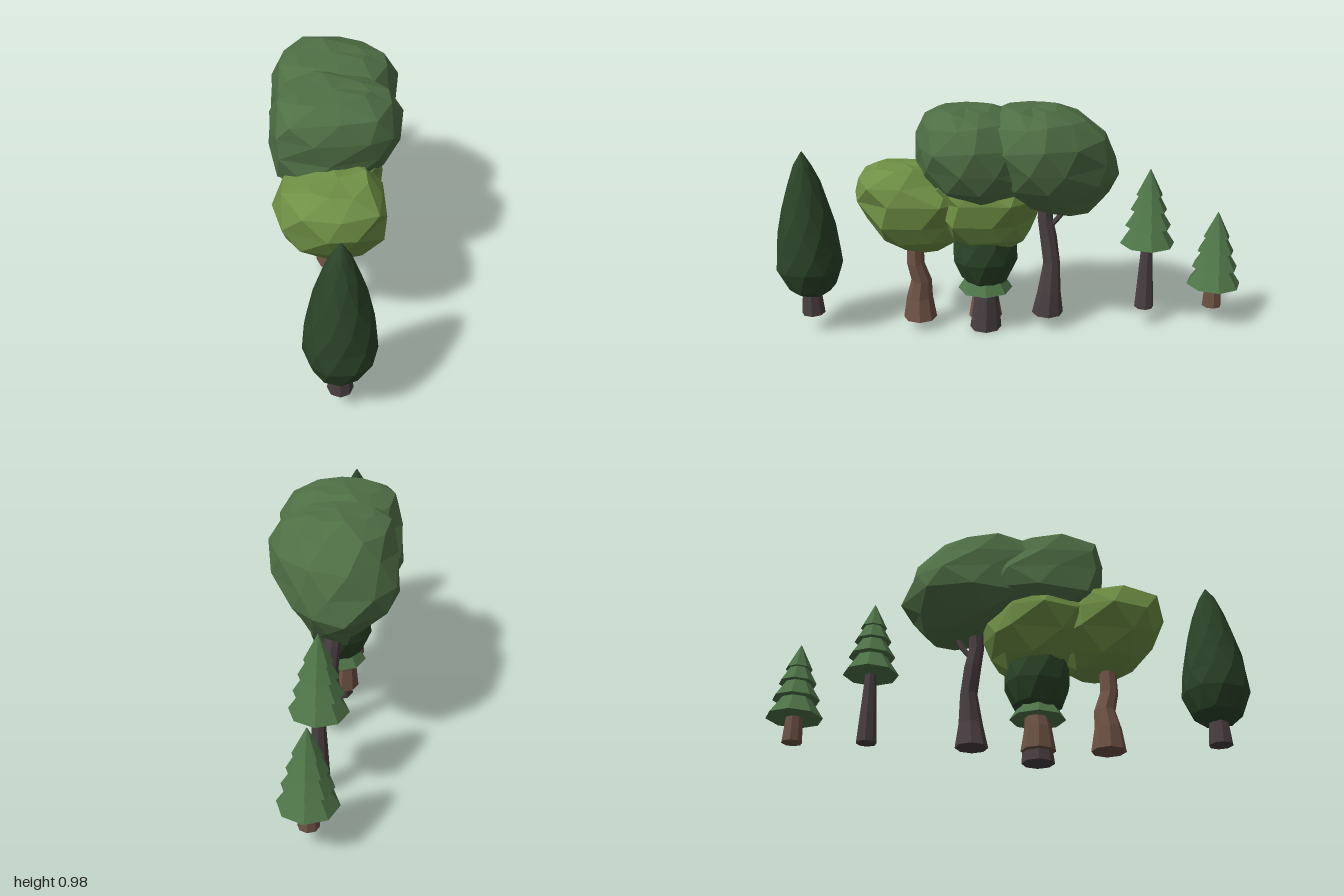
import * as THREE from 'three';

const mat = (color) => new THREE.MeshStandardMaterial({ color, flatShading: true });
const COLORS = {
  darkLeaf: mat(0x4f6f45), lightLeaf: mat(0x6f9045), cypressLeaf: mat(0x2b4428),
  pineLeaf: mat(0x4f7548), brownBark: mat(0x6e5345), darkBark: mat(0x4a3f42),
};

function seeded(seed) {
  let s = seed;
  return () => ((s = (s * 16807) % 2147483647) / 2147483647);
}

// Faceted loft through elliptical rings [y, xMin, xMax, zMin, zMax].
// twist is in fractions of a side; corners swell the quadrants (+x+z, -x+z, -x-z, +x-z).
function loft(rings, sides, { twist = 0, jitter = 0, corners = [0, 0, 0, 0], seed = 7 } = {}) {
  const rnd = seeded(seed * 7919);
  const pos = [], idx = [];
  rings.forEach(([y, x0, x1, z0, z1], j) => {
    for (let i = 0; i < sides; i++) {
      const a = ((i + j * twist + (rnd() - 0.5) * jitter * 4) / sides) * Math.PI * 2;
      const quadrant = (Math.floor(a / (Math.PI / 2)) + 4) % 4;
      const k = (1 + (rnd() - 0.4) * jitter) * (1 + corners[quadrant] * Math.sin(2 * a) ** 2);
      pos.push(
        (x0 + x1) / 2 + (k * Math.cos(a) * (x1 - x0)) / 2,
        y + (rnd() - 0.5) * jitter * 0.2,
        (z0 + z1) / 2 + (k * Math.sin(a) * (z1 - z0)) / 2,
      );
    }
  });
  for (let j = 0; j < rings.length - 1; j++) {
    for (let i = 0; i < sides; i++) {
      const n = (i + 1) % sides;
      const a = j * sides + i, b = j * sides + n, c = a + sides, d = b + sides;
      idx.push(a, c, b, b, c, d);
    }
  }
  // End caps
  const last = (rings.length - 1) * sides;
  [[0, 0], [rings.length - 1, last]].forEach(([r, start], top) => {
    const [y, x0, x1, z0, z1] = rings[r];
    const centre = pos.length / 3;
    pos.push((x0 + x1) / 2, y + (top ? 1 : -1) * jitter * 0.03, (z0 + z1) / 2);
    for (let i = 0; i < sides; i++) {
      const p = start + i, q = start + ((i + 1) % sides);
      idx.push(centre, top ? q : p, top ? p : q);
    }
  });
  const g = new THREE.BufferGeometry();
  g.setAttribute('position', new THREE.Float32BufferAttribute(pos, 3));
  g.setIndex(idx);
  const flat = g.toNonIndexed();
  flat.computeVertexNormals();
  return flat;
}

// Round rings from [y, radius, centreX, centreZ]
const round = (list) => list.map(([y, r, x = 0, z = 0]) => [y, x - r, x + r, z - r, z + r]);

function add(group, name, geometry, material) {
  const mesh = new THREE.Mesh(geometry, material);
  mesh.name = name;
  group.add(mesh);
  return mesh;
}

function makeTree(name, z, y = 0) {
  const g = new THREE.Group();
  g.name = name;
  g.position.set(0, y, z);
  return g;
}

// Tall dark-green oval tree
function cypress(z, y) {
  const g = makeTree('cypressTree', z, y);
  add(g, 'trunk', loft(round([[0.08, 0.05], [0.2, 0.038]]), 8), COLORS.darkBark);
  add(g, 'foliage', loft(round([
    [0.176, 0.06], [0.21, 0.103], [0.3, 0.139], [0.38, 0.136], [0.47, 0.122], [0.56, 0.1],
    [0.67, 0.068], [0.745, 0.036], [0.8, 0.003],
  ]), 10, { twist: 0.5, jitter: 0.045, seed: 3 }), COLORS.cypressLeaf);
  return g;
}

// Tiered conifer; base is the height of the lowest tier
function pine(z, base, bark) {
  const g = makeTree('pineTree', z);
  add(g, 'trunk', loft(round([[0.08, 0.042], [base + 0.03, base > 0.3 ? 0.021 : 0.033]]), 8), bark);
  const tiers = [[0, 0.117, 0.125, 0.035], [0.08, 0.098, 0.19, 0.03], [0.152, 0.078, 0.255, 0.022], [0.217, 0.056, 0.33, 0.001]];
  tiers.forEach(([low, r, high, rTop]) => {
    const tier = add(g, 'foliageTier', new THREE.CylinderGeometry(rTop, r, high - low, 8), COLORS.pineLeaf);
    tier.position.y = base + (low + high) / 2;
  });
  return g;
}

// Broad dark-green tree
function broadTree(z, foot) {
  const g = makeTree('largeBroadTree', z);
  add(g, 'trunk', loft(round([
    [foot, 0.068, 0.007, 0], [0.17, 0.05, 0.016, -0.005], [0.3, 0.036, 0.01, -0.015],
    [0.42, 0.036, 0, 0], [0.5, 0.032, 0, 0.014], [0.66, 0.032, 0, 0.01],
  ]), 8), COLORS.darkBark);
  add(g, 'branch', loft(round([
    [0.46, 0.016, 0, -0.005], [0.51, 0.014, 0.01, -0.045], [0.6, 0.013, 0.02, -0.085],
  ]), 6), COLORS.darkBark);
  add(g, 'crown', loft([
    [0.55, -0.11, 0.09, -0.22, 0.04],
    [0.6, -0.2, 0.15, -0.26, 0.19],
    [0.67, -0.26, 0.215, -0.3, 0.265],
    [0.76, -0.265, 0.25, -0.29, 0.285],
    [0.85, -0.245, 0.265, -0.24, 0.285],
    [0.93, -0.23, 0.215, -0.14, 0.255],
    [0.975, -0.16, 0.13, -0.03, 0.18],
  ], 10, { twist: 0.5, jitter: 0.13, corners: [0.04, 0.22, 0.02, -0.16], seed: 11 }), COLORS.darkLeaf);
  return g;
}

// Smaller light-green tree with a crooked brown trunk
function lightTree(z) {
  const g = makeTree('smallBroadTree', z);
  add(g, 'trunk', loft(round([
    [0.045, 0.072, -0.014, 0], [0.14, 0.056, -0.02, 0], [0.22, 0.044, -0.015, -0.01],
    [0.3, 0.038, -0.01, 0.012], [0.48, 0.032, -0.01, 0.01],
  ]), 8), COLORS.brownBark);
  add(g, 'crown', loft([
    [0.39, -0.09, 0.08, -0.14, 0.08],
    [0.435, -0.15, 0.14, -0.19, 0.15],
    [0.52, -0.22, 0.175, -0.22, 0.215],
    [0.61, -0.24, 0.19, -0.23, 0.245],
    [0.69, -0.21, 0.165, -0.195, 0.235],
    [0.745, -0.11, 0.11, -0.07, 0.16],
  ], 9, { twist: 0.5, jitter: 0.12, corners: [0.13, 0.06, 0, 0], seed: 5 }), COLORS.lightLeaf);
  return g;
}

export function createModel() {
  const model = new THREE.Group();
  model.name = 'treeRow';
  model.add(
    cypress(0.86, 0),
    lightTree(0.4),
    // Central cluster of overlapping trees
    lightTree(0.115),
    broadTree(0.115, 0),
    cypress(0.115, 0.03),
    pine(0.115, 0.185, COLORS.brownBark),
    // Back of the row
    broadTree(-0.155, 0.065),
    pine(-0.58, 0.38, COLORS.darkBark),
    pine(-0.88, 0.185, COLORS.brownBark),
  );
  return model;
}
